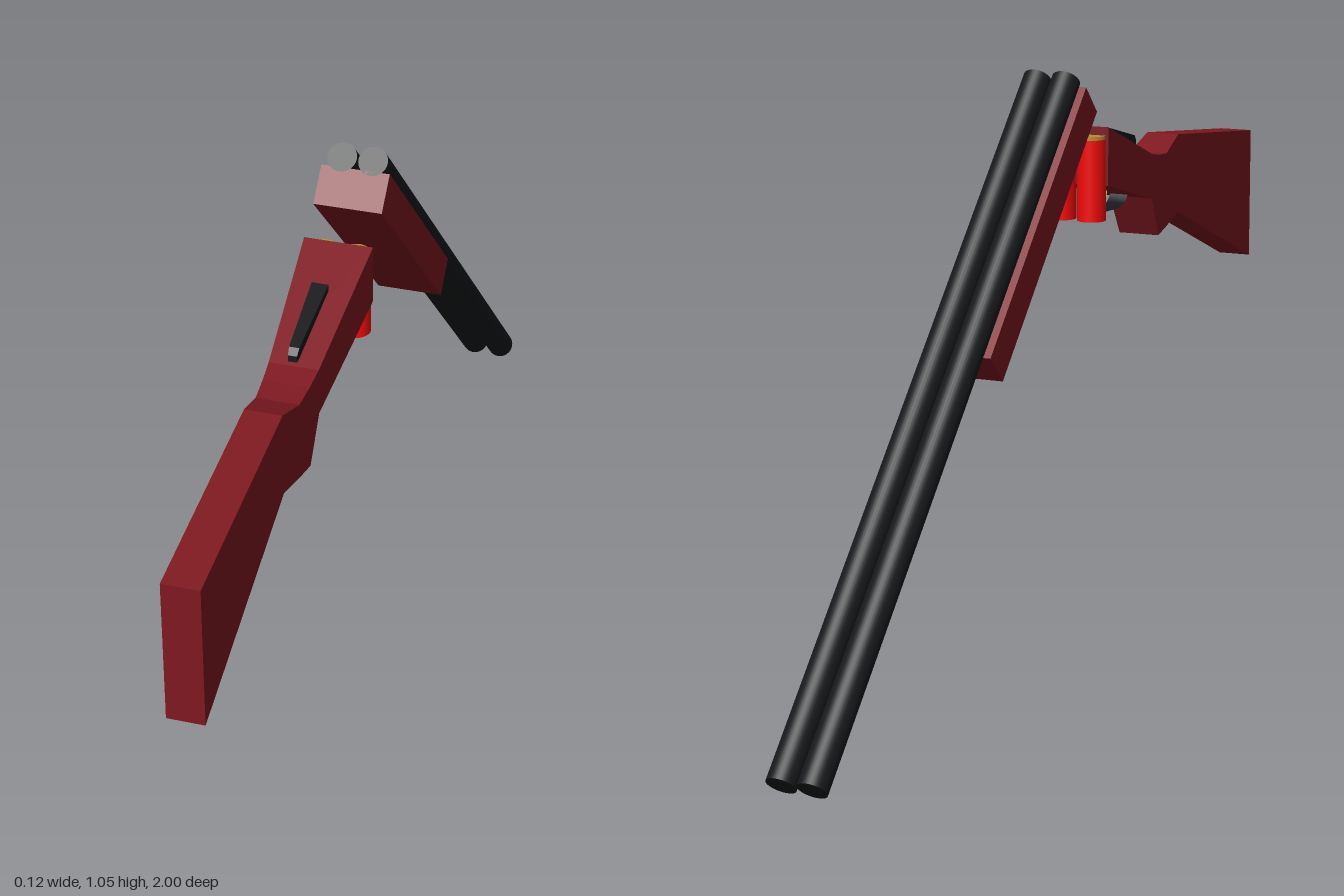
import * as THREE from 'three';

const mat = (color, extra = {}) => new THREE.MeshStandardMaterial({ color, ...extra });

function mesh(name, geometry, material, x = 0, y = 0, z = 0) {
  const m = new THREE.Mesh(geometry, material);
  m.name = name;
  m.position.set(x, y, z);
  return m;
}

// Rectangular cross-sections [z, bottom, top, halfWidth], joined front to back
function loft(sections) {
  const pos = [], index = [];
  for (const [z, bottom, top, w] of sections)
    pos.push(w, top, z, -w, top, z, -w, bottom, z, w, bottom, z);
  for (let i = 0; i < sections.length - 1; i++)
    for (let j = 0; j < 4; j++) {
      const a = i * 4 + j, b = i * 4 + (j + 1) % 4;
      index.push(a, b, b + 4, a, b + 4, a + 4);
    }
  const e = (sections.length - 1) * 4;
  index.push(0, 2, 1, 0, 3, 2, e, e + 1, e + 2, e, e + 2, e + 3);
  const g = new THREE.BufferGeometry();
  g.setAttribute('position', new THREE.Float32BufferAttribute(pos, 3));
  g.setIndex(index);
  const flat = g.toNonIndexed();
  flat.computeVertexNormals();
  return flat;
}

// Thin ribbon of the given width following [z, y] points
function ribbon(points, width) {
  const curve = new THREE.CatmullRomCurve3(points.map(([z, y]) => new THREE.Vector3(0, y, z)));
  const n = 12, g = new THREE.PlaneGeometry(width, 1, 1, n);
  const p = g.attributes.position;
  for (let i = 0; i < p.count; i++) {
    const c = curve.getPoint(Math.floor(i / 2) / n);
    p.setXYZ(i, p.getX(i), c.y, c.z);
  }
  g.computeVertexNormals();
  return g;
}

export function createModel() {
  const wood = mat(0x7f1820, { flatShading: true });
  const steel = mat(0x16191b);
  const steelThin = mat(0x16191b, { side: THREE.DoubleSide });
  const red = mat(0xf50808);
  const brass = mat(0xb8902a, { side: THREE.DoubleSide });
  const model = new THREE.Group();

  // Buttstock with grip and receiver
  model.add(mesh('buttstock', loft([
    [0.15, 0.82, 0.93, 0.062],
    [0.414, 0.754, 0.841, 0.044],
    [0.457, 0.674, 0.833, 0.041],
    [0.505, 0.683, 0.829, 0.038],
    [0.58, 0.70, 0.856, 0.033],
    [1.0, 0.54, 0.807, 0.033],
  ]), wood));

  // Opening lever, wide in front and narrow behind
  model.add(mesh('openingLever', loft([
    [0.26, 0.9, 0.912, 0.015],
    [0.41, 0.856, 0.876, 0.009],
    [0.42, 0.853, 0.865, 0.008],
  ]), steel));

  // Trigger guard and two triggers
  model.add(mesh('triggerGuard', ribbon(
    [[0.36, 0.775], [0.335, 0.755], [0.27, 0.752], [0.22, 0.762], [0.2, 0.81]], 0.036), steelThin));
  for (const z of [0.275, 0.225])
    model.add(mesh('trigger', ribbon(
      [[z, 0.82], [z + 0.006, 0.8], [z, 0.775], [z - 0.02, 0.76]], 0.012), brass));

  // Two shells hanging in front of the receiver
  for (const s of [1, -1]) {
    const shell = new THREE.Group();
    shell.name = 'shell';
    shell.position.set(s * 0.03, 0, 0.147);
    shell.add(mesh('shellCase', new THREE.CylinderGeometry(0.027, 0.027, 0.153, 24), red, 0, 0.8305));
    shell.add(mesh('shellBase', new THREE.CylinderGeometry(0.027, 0.027, 0.007, 24), brass, 0, 0.9105));
    model.add(shell);
  }

  // Barrel assembly, tipped down 45 degrees, origin at the breech
  const assembly = new THREE.Group();
  assembly.name = 'barrelAssembly';
  assembly.position.set(0, 1.03, 0.0315);
  assembly.rotation.x = -Math.PI / 4;
  const tube = new THREE.CylinderGeometry(0.0265, 0.0265, 1.43, 32).rotateX(Math.PI / 2);
  for (const s of [1, -1]) assembly.add(mesh('barrel', tube, steel, s * 0.028, 0, -0.715));
  assembly.add(mesh('foreStock', new THREE.BoxGeometry(0.124, 0.072, 0.59), wood, 0, -0.0545, -0.295));
  model.add(assembly);

  return model;
}
